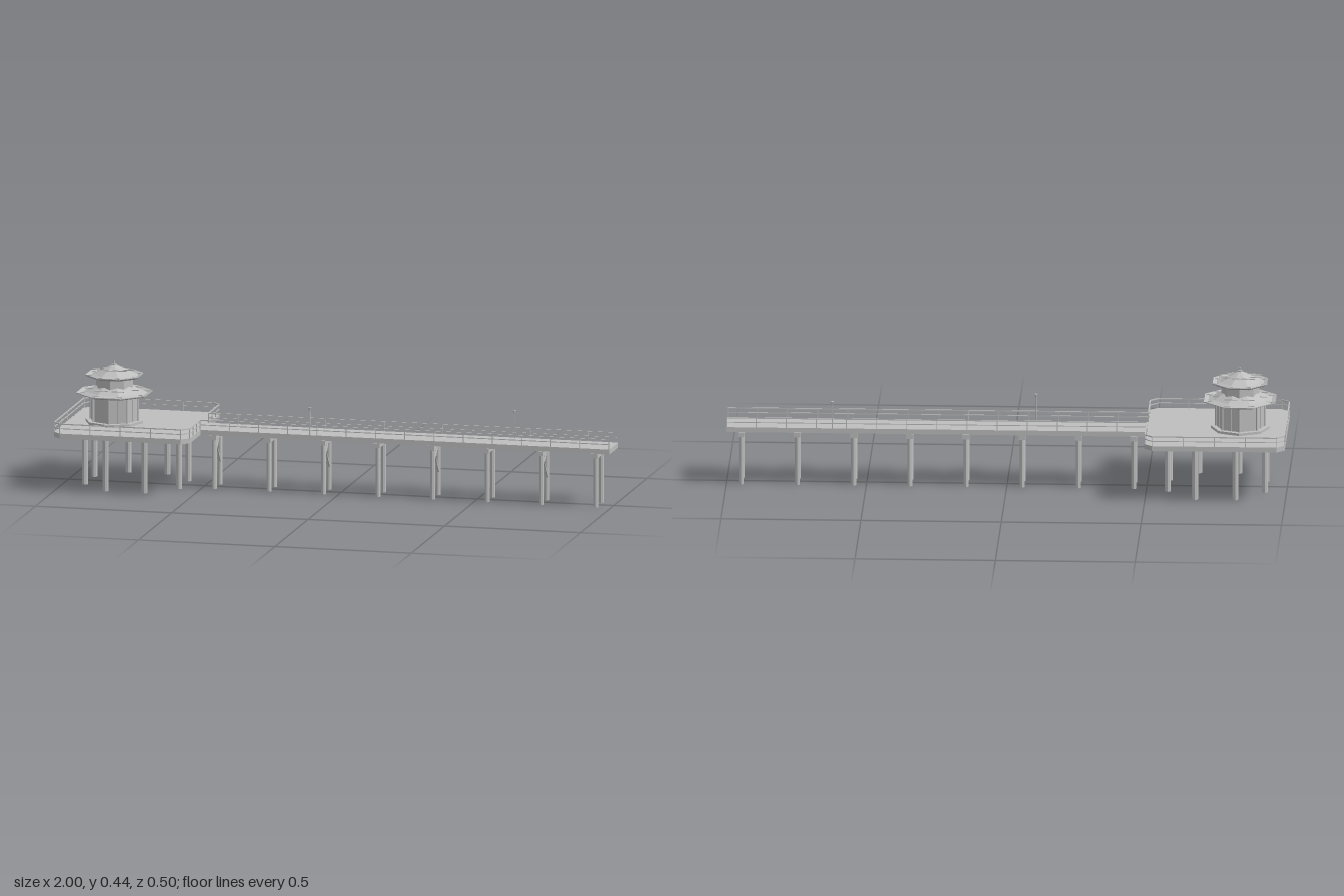
import * as THREE from 'three';

export function createModel() {
  const model = new THREE.Group();
  model.name = 'pierWithPavilion';
  const grey = new THREE.MeshStandardMaterial({ color: 0xbebebe, flatShading: true });
  grey.name = 'plain grey';

  const add = (name, geo, x = 0, y = 0, z = 0, parent = model) => {
    const m = new THREE.Mesh(geo, grey);
    m.name = name;
    m.position.set(x, y, z);
    parent.add(m);
    return m;
  };
  const box = (name, w, h, d, x, y, z, parent) =>
    add(name, new THREE.BoxGeometry(w, h, d), x, y, z, parent);
  const post = (name, r, y0, y1, x, z, sides = 8, parent = model, rTop = r) =>
    add(name, new THREE.CylinderGeometry(rTop, r, y1 - y0, sides), x, (y0 + y1) / 2, z, parent);
  // Square bar between two points
  const bar = (name, a, b, t, parent) => {
    const p = new THREE.Vector3(...a), q = new THREE.Vector3(...b);
    const m = add(name, new THREE.BoxGeometry(t, t, p.distanceTo(q)), 0, 0, 0, parent);
    m.position.copy(p).add(q).multiplyScalar(0.5);
    m.lookAt(q);
    return m;
  };

  const DECK = 0.216, UNDER = 0.198, W = 0.066, H = 0.25, C = 0.222;

  // Platform with cut corners
  const outline = [[-H, -C], [-C, -H], [C, -H], [H, -C], [H, C], [C, H], [-C, H], [-H, C]];
  const shape = new THREE.Shape(outline.map(([x, z]) => new THREE.Vector2(x, z)));
  const slab = new THREE.ExtrudeGeometry(shape, { depth: DECK - UNDER, bevelEnabled: false });
  slab.rotateX(-Math.PI / 2);
  add('platformDeck', slab, -0.75, UNDER, 0);

  // Ring of platform piles and two bearers
  for (let i = 0; i < 8; i++) {
    const a = (i + 0.5) * Math.PI / 4;
    post('platformPile', 0.011, 0, UNDER, -0.75 + 0.187 * Math.cos(a), 0.187 * Math.sin(a));
  }
  for (const s of [-1, 1]) box('platformBearer', 0.38, 0.022, 0.022, -0.75, 0.188, s * 0.122);

  // Walkway and its pile bents, every second one cross-braced
  box('walkwayDeck', 1.5, DECK - UNDER, 2 * W, 0.25, (DECK + UNDER) / 2, 0);
  for (let i = 0; i < 8; i++) {
    const x = -0.455 + 0.2 * i;
    box('crossBeam', 0.024, 0.017, 0.138, x, 0.19, 0);
    for (const s of [-1, 1]) {
      post('walkwayPile', 0.009, 0, 0.183, x, s * 0.042);
      if (i % 2 === 0) bar('crossBrace', [x + s * 0.003, 0.085, -s * 0.036], [x + s * 0.003, 0.172, s * 0.036], 0.005);
    }
  }

  // Railings: a top rail, a middle rail and evenly spaced posts
  const railing = (a, b, n) => {
    const g = new THREE.Group();
    g.name = 'railing';
    model.add(g);
    bar('topRail', [a[0], 0.2505, a[1]], [b[0], 0.2505, b[1]], 0.004, g);
    bar('middleRail', [a[0], 0.234, a[1]], [b[0], 0.234, b[1]], 0.003, g);
    for (let i = 0; i <= n; i++) {
      const t = i / n;
      box('railPost', 0.003, 0.036, 0.003, a[0] + (b[0] - a[0]) * t, 0.233, a[1] + (b[1] - a[1]) * t, g);
    }
  };
  const L = -0.998, R = -0.502, Z = 0.248;
  railing([L, -C], [L, C], 9);
  for (const s of [-1, 1]) {
    railing([L, s * C], [-0.75 - C, s * Z], 1);
    railing([-0.75 - C, s * Z], [-0.75 + C, s * Z], 4);
    railing([-0.75 + C, s * Z], [R, s * C], 1);
    railing([R, s * C], [R, s * 0.064], 3);
    railing([R, s * 0.064], [0.998, s * 0.064], 14);
  }

  // Lamps on the walkway
  for (const [x, z] of [[-0.1, 0.063], [0.62, -0.063]]) {
    post('lampPole', 0.002, DECK, 0.303, x, z, 6);
    post('lampHead', 0.002, 0.302, 0.315, x, z, 6, model, 0.006);
  }

  // Pavilion: plinth, two storeys, posts
  const pav = new THREE.Group();
  pav.name = 'pavilion';
  pav.position.set(-0.832, 0, 0);
  model.add(pav);
  post('plinth', 0.105, DECK, 0.225, 0, 0, 8, pav);
  post('lowerWall', 0.086, 0.225, 0.322, 0, 0, 8, pav);
  post('upperWall', 0.068, 0.318, 0.386, 0, 0, 8, pav);
  for (let i = 0; i < 8; i++) {
    const a = i * Math.PI / 4, m = a + Math.PI / 8;
    post('cornerColumn', 0.004, 0.225, 0.32, 0.087 * Math.cos(a), 0.087 * Math.sin(a), 6, pav);
    const mullion = box('mullion', 0.004, 0.093, 0.004, 0.0795 * Math.cos(m), 0.2715, 0.0795 * Math.sin(m), pav);
    mullion.rotation.y = -m;
  }

  // Eight-sided roofs with flared eaves and hip ribs
  const roof = (name, under, top) => {
    const pts = [...under, ...top].map(([r, y]) => new THREE.Vector2(r, y));
    add(name, new THREE.LatheGeometry(pts, 8, Math.PI / 8), 0, 0, 0, pav);
    for (let i = 0; i < 8; i++) {
      const c = Math.cos((i + 0.5) * Math.PI / 4), s = Math.sin((i + 0.5) * Math.PI / 4);
      for (let k = 1; k < top.length; k++) {
        const [r0, y0] = top[k - 1], [r1, y1] = top[k];
        bar('hipRib', [r0 * c, y0, r0 * s], [r1 * c, y1, r1 * s], 0.003, pav);
      }
    }
  };
  roof('lowerRoof', [[0.05, 0.318], [0.12, 0.317], [0.138, 0.324]],
    [[0.138, 0.327], [0.122, 0.322], [0.1, 0.329], [0.06, 0.352]]);
  roof('upperRoof', [[0, 0.381], [0.09, 0.38], [0.105, 0.388]],
    [[0.105, 0.391], [0.09, 0.386], [0.075, 0.391], [0.006, 0.426]]);

  // Finial
  post('finialBase', 0.008, 0.42, 0.429, 0, 0, 8, pav);
  post('finialTip', 0.003, 0.428, 0.439, 0, 0, 8, pav);

  return model;
}
